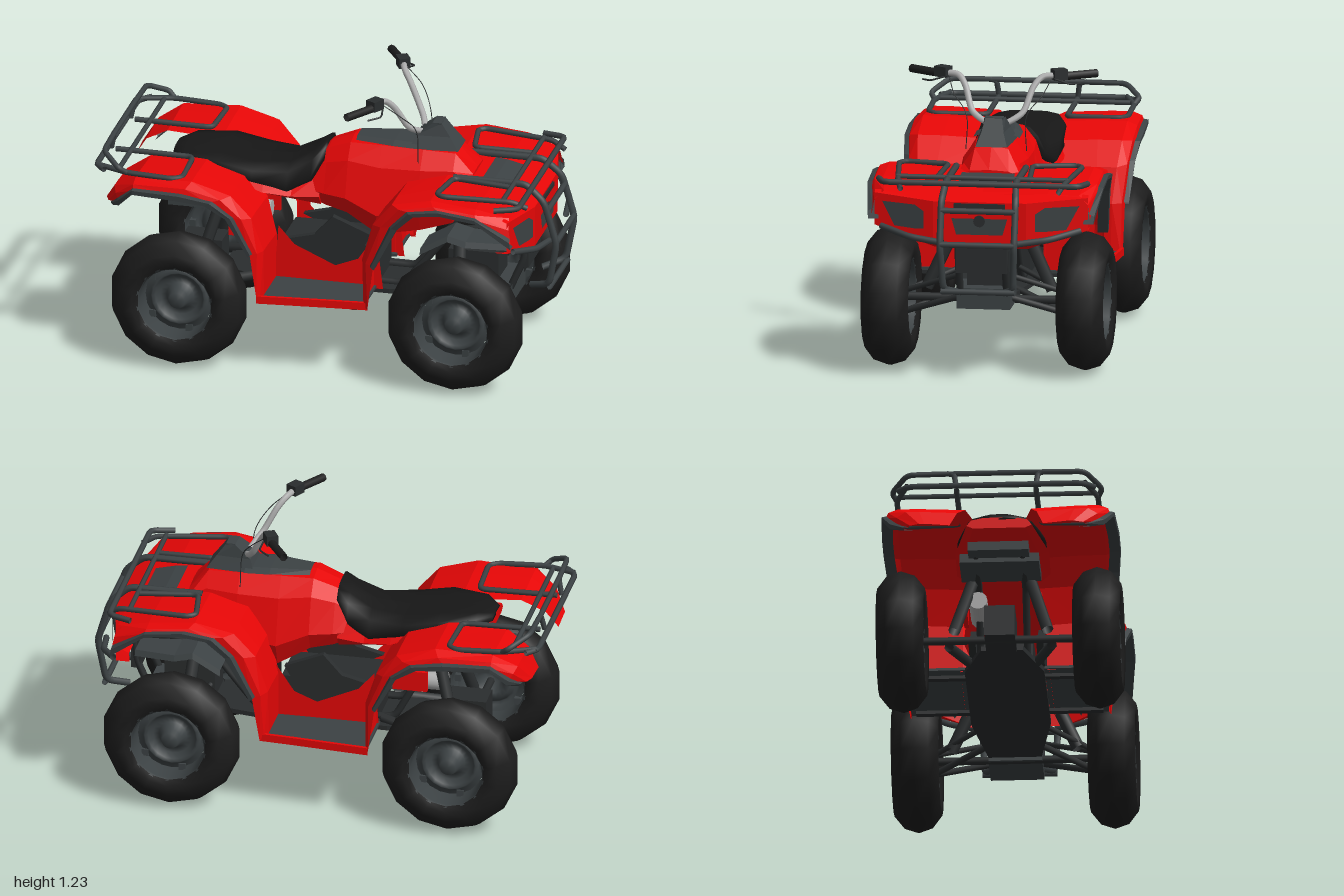
import * as THREE from 'three';

const paint = (name, color) => {
  const m = new THREE.MeshStandardMaterial({ color, side: THREE.DoubleSide });
  m.name = name;
  return m;
};
const red = paint('red plastic', 0xff0808);
const grey = paint('dark grey plastic', 0x3c4244);
const steel = paint('black steel', 0x2a2d2e);
const rubber = paint('rubber', 0x1d1d1d);
const vinyl = paint('seat vinyl', 0x171717);
const silver = paint('silver metal', 0xb0b0b0);

export function createModel() {
  const model = new THREE.Group();
  const add = (name, geo, mat, x = 0, y = 0, z = 0, parent = model) => {
    const m = new THREE.Mesh(geo, mat);
    m.name = name;
    m.position.set(x, y, z);
    parent.add(m);
    return m;
  };
  const box = (name, mat, w, h, d, x, y, z) => add(name, new THREE.BoxGeometry(w, h, d), mat, x, y, z);
  const shape = pts => new THREE.Shape(pts.map(p => new THREE.Vector2(...p)));

  // Surface through rows of points; faceted unless smooth
  const surf = (name, rows, mat, smooth = false) => {
    const n = rows[0].length, idx = [];
    for (let i = 0; i < rows.length - 1; i++)
      for (let j = 0; j < n - 1; j++) {
        const a = i * n + j, b = a + n;
        idx.push(a, b, a + 1, b, b + 1, a + 1);
      }
    let g = new THREE.BufferGeometry();
    g.setAttribute('position', new THREE.Float32BufferAttribute(rows.flat(2), 3));
    g.setIndex(idx);
    if (!smooth) g = g.toNonIndexed();
    g.computeVertexNormals();
    return add(name, g, mat);
  };

  // Closed body from sections [x, top, bottom, upper half width, lower half width]
  const loft = (name, secs, mat, smooth) => {
    const rows = secs.map(([x, t, b, wt, wb]) => {
      const h = t - b;
      const half = [[t, 0], [t - h * 0.04, wt * 0.6], [t - h * 0.25, wt], [b + h * 0.25, wb], [b, wb * 0.8], [b, 0]];
      const other = half.slice(0, -1).reverse().map(([y, z]) => [y, -z]);
      return [...half, ...other].map(([y, z]) => [x, y, z]);
    });
    const cap = (row, s) => row.map(() => [s[0], (s[1] + s[2]) / 2, 0]);
    return surf(name, [cap(rows[0], secs[0]), ...rows, cap(rows.at(-1), secs.at(-1))], mat, smooth);
  };

  // Bent bar with straight runs, or a smooth curve
  const bar = (name, pts, r, mat = grey, curved = false) => {
    const v = pts.map(p => new THREE.Vector3(...p));
    let path = new THREE.CatmullRomCurve3(v);
    if (!curved) {
      path = new THREE.CurvePath();
      let from = v[0];
      for (let i = 1; i < v.length; i++) {
        const last = i === v.length - 1;
        const k = last ? 0 : Math.min(0.25, 0.03 / v[i].distanceTo(v[i - 1]));
        const to = v[i].clone().lerp(v[i - 1], k);
        path.add(new THREE.LineCurve3(from, to));
        if (!last) {
          from = v[i].clone().lerp(v[i + 1], Math.min(0.25, 0.03 / v[i].distanceTo(v[i + 1])));
          path.add(new THREE.QuadraticBezierCurve3(to, v[i], from));
        }
      }
    }
    return add(name, new THREE.TubeGeometry(path, pts.length * 10, r, 7), mat);
  };
  const both = fn => [1, -1].forEach(s => fn(s, pts => pts.map(([x, y, z]) => [x, y, z * s]), s > 0 ? 'left' : 'right'));
  const spread = pts => [...pts, ...pts.map(([x, y, z]) => [x, y, -z]).reverse()];

  // Wheels: tyre, open barrel, dished disc and hub
  const lathe = (pts, n) => new THREE.LatheGeometry(pts.map(p => new THREE.Vector2(...p)), n).rotateX(Math.PI / 2);
  const tyre = lathe([[0.165, -0.085], [0.19, -0.098], [0.23, -0.102], [0.283, -0.06], [0.303, 0], [0.283, 0.06],
    [0.23, 0.102], [0.19, 0.098], [0.165, 0.085]], 14);
  const barrel = lathe([[0.17, -0.088], [0.158, -0.08], [0.158, 0.08], [0.17, 0.088]], 20);
  const disc = lathe([[0.15, -0.01], [0.125, 0.0], [0.115, 0.015], [0.105, 0.0], [0.085, -0.02], [0.06, -0.02], [0.045, 0.02],
    [0.035, 0.045], [0, 0.045]], 20);
  for (const x of [-0.61, 0.605]) both((s, m, side) => {
    const wheel = new THREE.Group();
    wheel.name = `${side} ${x > 0 ? 'front' : 'rear'} wheel`;
    wheel.position.set(x, 0.303, 0.42 * s);
    if (s < 0) wheel.rotation.y = Math.PI;
    add('tyre', tyre, rubber, 0, 0, 0, wheel);
    add('rim barrel', barrel, grey, 0, 0, 0, wheel);
    add('rim disc', disc, grey, 0, 0, 0, wheel);
    for (let i = 0; i < 5; i++) {
      const a = i * Math.PI * 0.4;
      add('rim lug', new THREE.BoxGeometry(0.03, 0.03, 0.03), grey, 0.145 * Math.cos(a), 0.145 * Math.sin(a), -0.01, wheel);
    }
    model.add(wheel);
  });

  // Fenders: [top x, top y, edge x, edge y, inner z, outer z] from the footwell over the wheel
  const fenders = {
    front: [[0.19, 0.34, 0.22, 0.33, 0.18, 0.43], [0.19, 0.55, 0.25, 0.54, 0.18, 0.45], [0.24, 0.72, 0.35, 0.74, 0.14, 0.47],
      [0.33, 0.83, 0.43, 0.82, 0.1, 0.49], [0.5, 0.865, 0.55, 0.835, 0, 0.49], [0.7, 0.845, 0.71, 0.815, 0, 0.49],
      [0.84, 0.81, 0.86, 0.71, 0, 0.47]],
    rear: [[-0.24, 0.34, -0.26, 0.34, 0.18, 0.46], [-0.24, 0.55, -0.29, 0.55, 0.18, 0.465], [-0.29, 0.7, -0.38, 0.72, 0.14, 0.48],
      [-0.38, 0.8, -0.47, 0.78, 0.1, 0.49], [-0.55, 0.85, -0.6, 0.795, 0.08, 0.49], [-0.8, 0.84, -0.8, 0.8, 0.14, 0.48],
      [-0.9, 0.78, -0.87, 0.73, 0.17, 0.44], [-0.95, 0.7, -0.91, 0.7, 0.2, 0.38]],
  };
  both((s, m, side) => {
    for (const [end, st] of Object.entries(fenders)) {
      surf(`${side} ${end} fender`, st.map(([x, y, ex, ey, zi, zo]) => m([[x, y - 0.01, zi], [x, y, zi * 0.4 + zo * 0.6],
        [x, y, zo - 0.05], [x * 0.6 + ex * 0.4, y * 0.6 + ey * 0.4, zo - 0.01], [ex, ey, zo]])), red);
      surf(`${side} ${end} fender trim`, st.slice(1).map(([x, y, ex, ey, zi, zo]) => {
        const ux = (x - ex) * 0.25, uy = (y - ey) * 0.25;
        return m([[ex + ux, ey + uy, zo - 0.008], [ex + ux * 0.5, ey + uy * 0.5, zo + 0.018],
          [ex - ux * 0.4, ey - uy * 0.4 - 0.01, zo + 0.016], [ex - ux * 0.4, ey - uy * 0.4 - 0.01, zo - 0.03]]);
      }), grey);
    }
    // Footwell
    const board = shape([[-0.25, 0.17 * s], [-0.25, 0.46 * s], [0.08, 0.43 * s], [0.2, 0.42 * s], [0.2, 0.17 * s]]);
    add(`${side} foot board`, new THREE.ExtrudeGeometry(board, { depth: 0.012, bevelEnabled: false }).rotateX(Math.PI / 2), grey, 0, 0.345, 0);
    surf(`${side} foot board edge`, [[-0.26, 0.465], [0.08, 0.435], [0.22, 0.425]].map(([x, z]) =>
      m([[x, 0.358, z - 0.015], [x, 0.358, z], [x, 0.325, z]])), red);
    add(`${side} inner side panel`, new THREE.ShapeGeometry(shape([[-0.25, 0.33], [-0.23, 0.58], [-0.16, 0.5], [0.02, 0.42],
      [0.12, 0.46], [0.2, 0.58], [0.23, 0.33]])), red, 0, 0, 0.19 * s);
    add(`${side} engine cover`, new THREE.ExtrudeGeometry(shape([[-0.2, 0.51], [-0.08, 0.54], [0, 0.63], [0.17, 0.56], [0.1, 0.44], [0.02, 0.41]]),
      { depth: 0.03, bevelEnabled: false }), steel, 0, 0, s > 0 ? 0.13 : -0.16);
    box(`${side} rear inner panel`, red, 0.15, 0.09, 0.02, -0.38, 0.55, 0.16 * s);

    // Headlights, following the swept nose
    const nose = (y, z) => [0.912 - (z - 0.2) * 0.23, y, z];
    surf(`${side} headlight`, [m([nose(0.735, 0.24), nose(0.762, 0.28), nose(0.768, 0.425)]),
      m([nose(0.66, 0.24), nose(0.658, 0.28), nose(0.665, 0.37)])], grey);

    // Suspension
    for (const dx of [-0.1, 0.1]) {
      bar(`${side} front lower arm`, m([[0.6 + dx, 0.33, 0.1], [0.6, 0.24, 0.35]]), 0.014, steel);
      bar(`${side} front upper arm`, m([[0.6 + dx, 0.42, 0.12], [0.6, 0.33, 0.35]]), 0.012, steel);
    }
    bar(`${side} front shock`, m([[0.56, 0.6, 0.15], [0.58, 0.34, 0.27]]), 0.028, steel);
    bar(`${side} rear shock`, m([[-0.5, 0.64, 0.12], [-0.58, 0.36, 0.2]]), 0.026, steel);
    bar(`${side} rear arm`, m([[-0.25, 0.34, 0.12], [-0.6, 0.28, 0.22]]), 0.022, steel);
    surf(`${side} front splash guard`, [[0.42, 0.58, 0.3], [0.54, 0.65, 0.3], [0.62, 0.63, 0.3], [0.8, 0.62, 0.26]].map(([x, y, z]) =>
      m([[x, y, 0.14], [x, y, z], [x, y - 0.025, z + 0.01]])), grey);

    // Handlebar half with grip, switch box and lever
    bar(`${side} handlebar`, m([[0.36, 1.01, 0.03], [0.34, 1.035, 0.08], [0.32, 1.06, 0.11], [0.265, 1.16, 0.148],
      [0.235, 1.195, 0.18], [0.22, 1.2, 0.22], [0.21, 1.197, 0.27]]), 0.014, silver, true);
    bar(`${side} grip`, m([[0.21, 1.195, 0.26], [0.12, 1.195, 0.4]]), 0.018, rubber);
    box(`${side} switch box`, steel, 0.05, 0.045, 0.06, 0.21, 1.205, 0.25 * s).rotation.y = -0.5 * s;
    bar(`${side} lever`, m([[0.24, 1.19, 0.23], [0.25, 1.17, 0.3], [0.2, 1.165, 0.34]]), 0.004, steel);
    bar(`${side} cable`, m([[0.24, 1.19, 0.22], [0.31, 1.13, 0.19], [0.36, 1.05, 0.13], [0.37, 0.9, 0.13]]), 0.002, steel, true);

    // Rear rack side
    bar(`${side} rear rack loop`, m([[-0.95, 0.855, 0.17], [-0.61, 0.85, 0.17], [-0.6, 0.85, 0.4], [-0.64, 0.85, 0.43],
      [-0.84, 0.86, 0.43], [-0.98, 0.865, 0.38]]), 0.012);
    bar(`${side} rear rack rail`, m([[-0.84, 0.86, 0.43], [-0.87, 0.885, 0.45], [-0.95, 0.93, 0.38], [-0.955, 0.93, 0.18], [-0.97, 0.86, 0.17]]), 0.012);
    // Front rack side
    bar(`${side} front rack loop`, m([[0.8, 0.86, 0.2], [0.54, 0.87, 0.18], [0.51, 0.87, 0.37], [0.54, 0.87, 0.395],
      [0.84, 0.86, 0.36], [0.9, 0.83, 0.34]]), 0.012);
    bar(`${side} fender guard`, m([[0.95, 0.61, 0.15], [0.93, 0.63, 0.3], [0.86, 0.66, 0.43]]), 0.014);
    bar(`${side} brush guard upright`, m([[0.53, 0.86, 0.15], [0.85, 0.86, 0.15], [0.93, 0.79, 0.16], [0.985, 0.6, 0.16],
      [0.95, 0.41, 0.15], [0.86, 0.38, 0.1]]), 0.015);
  });

  // Rack and guard cross bars
  bar('rear rack rear bar', spread([[-0.94, 0.86, 0.42], [-0.985, 0.86, 0.37]]), 0.013);
  bar('rear rack top bar', spread([[-0.955, 0.93, 0.2]]), 0.012);
  bar('rear rack cross bar', spread([[-0.88, 0.86, 0.42]]), 0.011);
  bar('front rack front bar', spread([[0.78, 0.85, 0.45], [0.88, 0.855, 0.42]]), 0.013);
  bar('front rack cross bar', spread([[0.8, 0.865, 0.37]]), 0.011);
  for (const [x, y] of [[0.945, 0.75], [0.955, 0.4], [0.985, 0.61]]) bar('brush guard cross bar', spread([[x, y, 0.16]]), 0.013);

  // Nose, grille and hood panel
  const zs = [-0.46, -0.2, 0, 0.2, 0.46];
  const noseX = z => 0.9 - Math.max(0, Math.abs(z) - 0.2) * 0.23;
  surf('nose', [zs.map(z => [0.82, 0.81, z]), zs.map(z => [noseX(z), Math.abs(z) > 0.3 ? 0.8 : 0.78, z]),
    zs.map(z => [noseX(z), Math.abs(z) > 0.3 ? 0.66 : 0.6, z]),
    zs.map(z => [noseX(z) - 0.06, Math.abs(z) > 0.3 ? 0.66 : 0.57, z])], red);
  surf('grille', [[[0.907, 0.71, -0.12], [0.907, 0.71, 0.12]], [[0.907, 0.64, -0.1], [0.907, 0.64, 0.1]]], grey);
  box('nose vent', steel, 0.008, 0.02, 0.22, 0.905, 0.765, 0);
  add('grille disc', new THREE.CylinderGeometry(0.025, 0.025, 0.008, 14).rotateZ(Math.PI / 2), steel, 0.912, 0.7, 0);
  surf('hood panel', [[0.65, 0.858], [0.7, 0.853], [0.79, 0.831]].map(([x, y]) => [[x, y, -0.12], [x, y, 0.11]]), grey);

  // Tank, under-seat body, seat and steering cover
  loft('tank cover', [[-0.12, 0.86, 0.7, 0.1, 0.14], [-0.04, 0.92, 0.67, 0.11, 0.16], [0.06, 0.96, 0.65, 0.13, 0.18],
    [0.2, 0.965, 0.57, 0.14, 0.2], [0.38, 0.96, 0.6, 0.14, 0.18], [0.52, 0.95, 0.64, 0.12, 0.16], [0.6, 0.86, 0.74, 0.14, 0.14]], red);
  loft('under-seat body', [[-0.72, 0.83, 0.78, 0.12, 0.14], [-0.46, 0.83, 0.77, 0.17, 0.2], [-0.3, 0.78, 0.71, 0.18, 0.2],
    [-0.18, 0.78, 0.69, 0.14, 0.18], [-0.06, 0.85, 0.67, 0.11, 0.16]], red);
  loft('seat', [[-0.72, 0.845, 0.82, 0.06, 0.08], [-0.66, 0.862, 0.81, 0.13, 0.14], [-0.5, 0.858, 0.795, 0.18, 0.19],
    [-0.35, 0.835, 0.75, 0.18, 0.195], [-0.2, 0.845, 0.71, 0.15, 0.185], [-0.1, 0.9, 0.76, 0.12, 0.15],
    [-0.05, 0.932, 0.86, 0.09, 0.12]], vinyl, true);
  surf('dash panel', [[0.08, 0.968, 0.06], [0.25, 0.972, 0.1], [0.36, 0.968, 0.1]].map(([x, y, w]) =>
    [[x, y - 0.015, -w], [x, y, -w * 0.65], [x, y, w * 0.65], [x, y - 0.015, w]]), grey);
  surf('steering cover', [[1.055, 0.41, 0.45, 0.045], [1.0, 0.34, 0.49, 0.06], [0.945, 0.32, 0.53, 0.085]]
    .map(([y, a, b, w]) => [[a, y, w], [b, y, w * 0.8], [b, y, -w * 0.8], [a, y, -w], [a, y, w]]), grey);
  box('steering cover top', grey, 0.04, 0.008, 0.08, 0.43, 1.053, 0);

  // Chassis and running gear
  add('belly plate', new THREE.ExtrudeGeometry(shape([[-0.5, -0.09], [-0.28, -0.17], [0.25, -0.17], [0.6, -0.11], [0.6, 0.11],
    [0.25, 0.17], [-0.28, 0.17], [-0.5, 0.09]]), { depth: 0.02, bevelEnabled: false }).rotateX(Math.PI / 2), steel, 0, 0.325, 0);
  for (const x of [-0.2, 0.15]) box('foot board support', steel, 0.03, 0.015, 0.8, x, 0.318, 0);
  box('engine', steel, 0.42, 0.17, 0.24, -0.02, 0.41, 0);
  box('front skid plate', grey, 0.2, 0.09, 0.23, 0.68, 0.335, 0);
  box('front gear housing', steel, 0.22, 0.16, 0.16, 0.6, 0.42, 0);
  box('rear gear housing', steel, 0.18, 0.14, 0.13, -0.6, 0.36, 0);
  box('rear carrier box', grey, 0.08, 0.04, 0.26, -0.77, 0.655, 0);
  box('rear cross member', grey, 0.2, 0.04, 0.34, -0.62, 0.64, 0);
  for (const x of [-0.61, 0.605])
    add('axle', new THREE.CylinderGeometry(0.018, 0.018, 0.8, 8).rotateX(Math.PI / 2), steel, x, 0.303, 0);
  for (const z of [-0.1, 0.1]) {
    bar('frame rail', [[-0.74, 0.65, z], [-0.45, 0.62, z], [-0.3, 0.34, z], [0.3, 0.33, z], [0.52, 0.6, z], [0.84, 0.64, z]], 0.016, steel);
    bar('front frame post', [[0.76, 0.34, z], [0.83, 0.5, z], [0.84, 0.64, z]], 0.016, steel);
  }
  box('radiator', steel, 0.04, 0.14, 0.22, 0.83, 0.53, 0);
  add('exhaust', new THREE.CylinderGeometry(0.04, 0.04, 0.2, 12).rotateZ(Math.PI / 2), silver, -0.43, 0.53, -0.1);
  return model;
}
